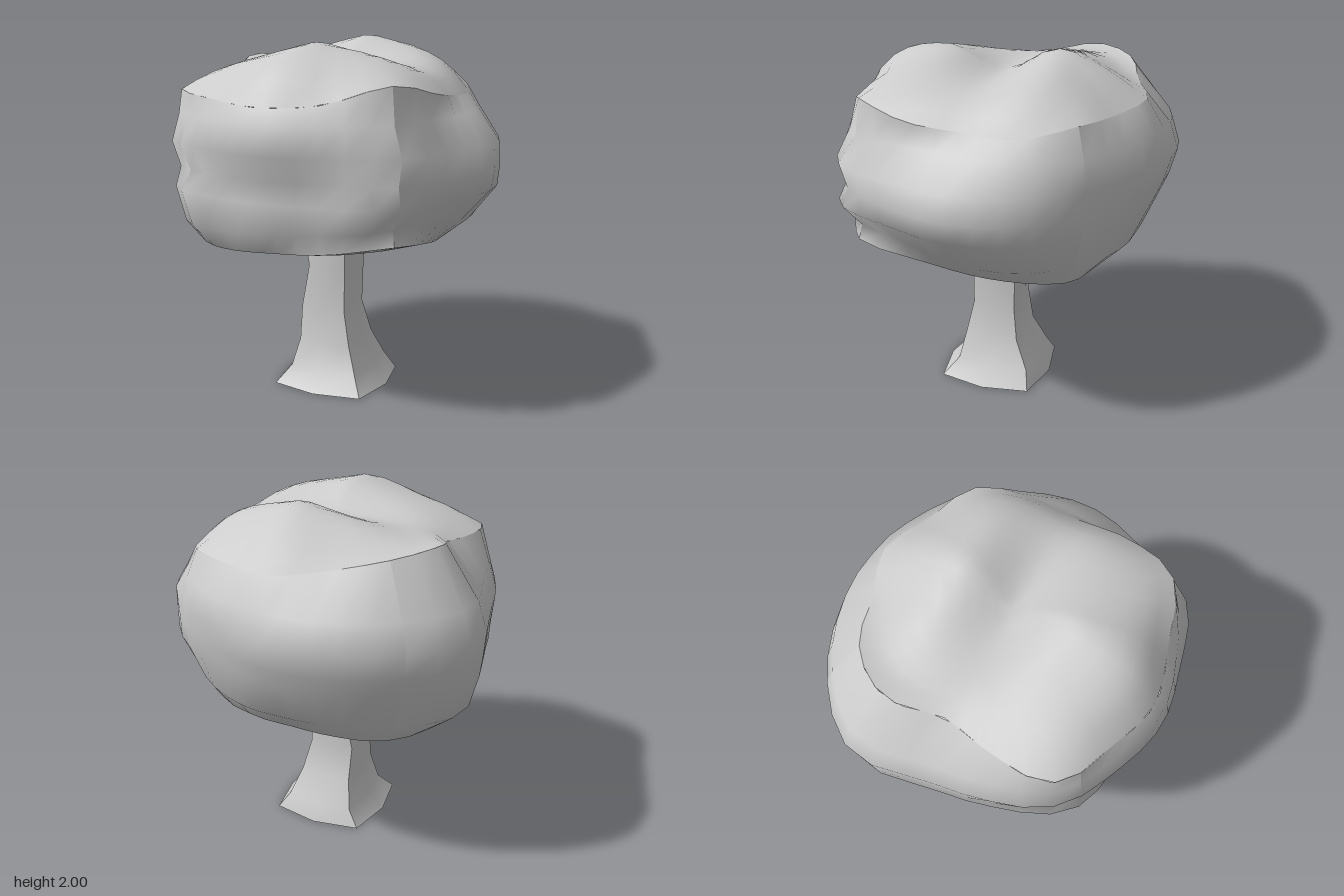
import * as THREE from 'three';
import { mergeVertices } from 'three/addons/utils/BufferGeometryUtils.js';

const TAU = Math.PI * 2;
const material = new THREE.MeshStandardMaterial({ color: 0xcccccc, side: THREE.DoubleSide });

// Radii and heights are listed every 22.5 degrees, from +x round through +z
const outline = [0.96, 0.94, 1.0, 0.92, 0.92, 0.9, 0.93, 0.88, 0.89, 1.03, 1.0, 0.95, 0.91, 0.86, 0.89, 0.94];
const rimRadius = [0.7, 0.78, 0.86, 0.81, 0.84, 0.82, 0.87, 0.71, 0.63, 0.76, 0.77, 0.71, 0.77, 0.73, 0.79, 0.75];
const rimHeight = [1.7, 1.73, 1.79, 1.7, 1.68, 1.7, 1.73, 1.76, 1.8, 1.87, 1.85, 1.79, 1.76, 1.74, 1.75, 1.69];
const baseRadius = [0.62, 0.7, 0.91, 0.82, 0.75, 0.74, 0.76, 0.78, 0.74, 0.78, 0.77, 0.66, 0.58, 0.6, 0.7, 0.63];
const baseHeight = [0.88, 0.93, 1.0, 0.95, 0.92, 0.89, 0.87, 0.87, 0.87, 0.87, 0.86, 0.85, 0.83, 0.82, 0.86, 0.86];

// Crown girth by height: factors towards +x, +z, -x, -z, extra at the +x -z corner
const girth = [
  [1.03, 0.79, 0.9, 0.93, 0.82, 0.08],
  [1.2, 0.97, 0.93, 0.98, 0.92, 0.03],
  [1.31, 0.99, 0.9, 0.99, 0.97, 0],
  [1.45, 0.98, 1.0, 1.0, 1.01, 0],
  [1.6, 0.81, 0.97, 0.94, 0.96, 0.07],
];
const RIM = girth.length + 1;

// Trunk by height: reach towards +x, +z, -x, -z
const trunkRows = [
  [0, 0.36, 0.37, 0.28, 0.27],
  [0.1, 0.28, 0.28, 0.2, 0.23],
  [0.26, 0.22, 0.24, 0.15, 0.14],
  [0.45, 0.17, 0.2, 0.15, 0.1],
  [0.7, 0.17, 0.2, 0.1, 0.11],
  [0.95, 0.17, 0.2, 0.14, 0.11],
];

// Smooth closed lookup in a ring of values
function ring(values, a) {
  const n = values.length;
  const t = ((((a / TAU) % 1) + 1) % 1) * n;
  const i = Math.floor(t), f = t - i;
  const [p, q, r, s] = [-1, 0, 1, 2].map((k) => values[(i + k + n) % n]);
  return q + 0.5 * f * (r - p + f * (2 * p - 5 * q + 4 * r - s + f * (3 * (q - r) + s - p)));
}

// Blend four compass values around the angle, with extra at one corner
function compass([px, pz, nx, nz, corner], a) {
  const c = Math.cos(a), s = Math.sin(a);
  return c * c * (c > 0 ? px : nx) + s * s * (s > 0 ? pz : nz) + 2 * corner * Math.max(0, c) * Math.max(0, -s);
}

// Two low lobes at the front corners
function lobe(y, a) {
  if (Math.sin(a) < 0) return 0;
  return 0.075 * Math.exp(-(((Math.abs(Math.cos(a)) - 0.56) / 0.2) ** 2) - ((y - 1.13) / 0.14) ** 2);
}

// Smooth patch over angles a0..a1, rows running upwards on the outside
function patch(name, rows, cols, a0, a1, point) {
  const positions = [], index = [];
  for (let r = 0; r < rows; r++) {
    for (let c = 0; c <= cols; c++) positions.push(...point(r, a0 + ((a1 - a0) * c) / cols));
  }
  for (let r = 0; r < rows - 1; r++) {
    for (let c = 0; c < cols; c++) {
      const p = r * (cols + 1) + c, q = p + cols + 1;
      index.push(p, q, p + 1, p + 1, q, q + 1);
    }
  }
  let geometry = new THREE.BufferGeometry();
  geometry.setAttribute('position', new THREE.Float32BufferAttribute(positions, 3));
  geometry.setIndex(index);
  geometry = mergeVertices(geometry, 1e-4);
  geometry.computeVertexNormals();
  const mesh = new THREE.Mesh(geometry, material);
  mesh.name = name;
  return mesh;
}

const polar = (r, y, a) => [r * Math.cos(a), y, r * Math.sin(a)];

function crownSide(row, a) {
  const base = ring(baseHeight, a);
  if (row === 0) return polar(ring(baseRadius, a), base, a);
  if (row === RIM) return polar(ring(rimRadius, a), ring(rimHeight, a), a);
  const [level, ...factors] = girth[row - 1];
  // the lowest row follows the uneven base edge
  const y = row === 1 ? THREE.MathUtils.lerp(base, 1.2, 0.4) : level;
  return polar(ring(outline, a) * (compass(factors, a) + lobe(y, a)), y, a);
}

// Two ridges with a valley between them, falling away to both sides
function crownTop(row, a) {
  const s = 1 - row / 10;
  const [x, rim, z] = crownSide(RIM, a);
  const px = x * s - 0.07, pz = z * s - 0.02;
  const swell = THREE.MathUtils.smoothstep(Math.abs(pz), 0, 0.32);
  const peak = (pz > 0 ? 0.125 : 0.145) - Math.abs(px) * (px > 0 ? 0.2 : 0.24);
  const crest = 1.86 + swell * peak - 0.35 * Math.max(0, -pz - 0.37);
  return [x * s, THREE.MathUtils.lerp(crest, rim, s ** 6), z * s];
}

// Underside sags a little between the trunk and the edge
function crownBottom(row, a) {
  const s = row / 5;
  const [x, y, z] = crownSide(0, a);
  return [x * s, THREE.MathUtils.lerp(0.89, y, s * s) - 0.2 * s * s * (1 - s), z * s];
}

// Rounded square section
function trunkSide(row, a) {
  const [y, px, pz, nx, nz] = trunkRows[row];
  const c = Math.cos(a), s = Math.sin(a);
  const k = (c ** 4 + s ** 4) ** -0.25;
  return [
    (px - nx) / 2 + (k * c * (px + nx)) / 2, y,
    (pz - nz) / 2 + (k * s * (pz + nz)) / 2,
  ];
}

export function createModel() {
  const tree = new THREE.Group();
  tree.name = 'tree';
  const crown = new THREE.Group();
  crown.name = 'crown';
  const trunk = new THREE.Group();
  trunk.name = 'trunk';

  // Four sides each, creased at the corners, starting at the model's left (+x)
  const corners = [-45, 45, 126, 225, 315].map(THREE.MathUtils.degToRad);
  ['Left', 'Front', 'Right', 'Back'].forEach((side, i) => {
    const a0 = (i - 0.5) * (TAU / 4);
    crown.add(patch('crown' + side, RIM + 1, 10, corners[i], corners[i + 1], crownSide));
    trunk.add(patch('trunk' + side, trunkRows.length, 2, a0, a0 + TAU / 4, trunkSide));
  });
  crown.add(patch('crownTop', 11, 40, 0, TAU, crownTop));
  crown.add(patch('crownUnderside', 6, 40, 0, TAU, crownBottom));

  tree.add(trunk, crown);
  return tree;
}
